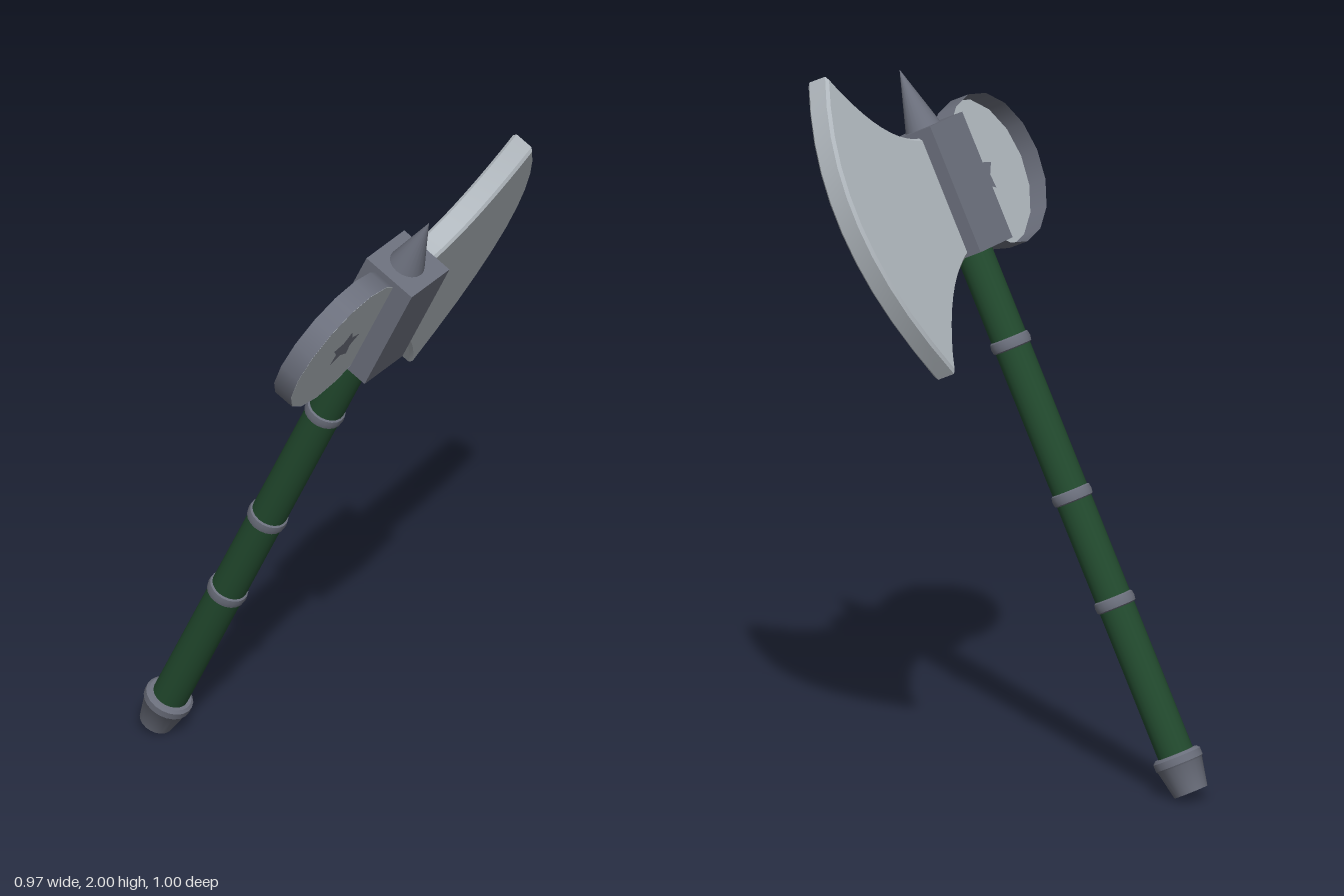
import * as THREE from 'three';
import { toCreasedNormals } from 'three/addons/utils/BufferGeometryUtils.js';

const green = new THREE.MeshStandardMaterial({ color: 0x224a2e });
green.name = 'green grip';
const iron = new THREE.MeshStandardMaterial({ color: 0x6b6f7c, side: THREE.DoubleSide });
iron.name = 'dark iron';
const steel = new THREE.MeshStandardMaterial({ color: 0xb0b7bd });
steel.name = 'light steel';

export function createModel() {
  const model = new THREE.Group();
  model.name = 'axe';

  // The axe is built upright along y, then leaned forward
  const axe = new THREE.Group();
  axe.name = 'leaningAxe';
  axe.rotation.x = THREE.MathUtils.degToRad(25.3);
  axe.position.set(0, 0.182, -0.384);
  model.add(axe);

  const axisX = -0.052;
  const add = (name, geometry, material, x, y, z = 0) => {
    const mesh = new THREE.Mesh(geometry, material);
    mesh.name = name;
    mesh.position.set(x, y, z);
    axe.add(mesh);
    return mesh;
  };
  const lathe = (points) => toCreasedNormals(
    new THREE.LatheGeometry(points.map(([r, y]) => new THREE.Vector2(r, y)), 20), 0.6);

  // Handle with three bands
  add('handle', new THREE.CylinderGeometry(0.05, 0.05, 1.52, 20), green, axisX, 0.66);
  for (const y of [0.374, 0.685, 1.13]) {
    add('handleBand', lathe([[0.049, -0.017], [0.055, -0.013], [0.057, 0], [0.055, 0.013], [0.049, 0.017]]),
      iron, axisX, y);
  }

  // Tapered pommel with a collar
  add('pommel', lathe([[0, -0.179], [0.048, -0.179], [0.064, -0.1], [0.068, -0.095],
    [0.068, -0.075], [0.06, -0.067], [0.049, -0.067]]), iron, axisX, 0);

  // Head block and top spike
  add('headBlock', new THREE.BoxGeometry(0.176, 0.366, 0.166), iron, axisX, 1.574, 0.008);
  add('spike', new THREE.ConeGeometry(0.05, 0.17, 20), iron, axisX, 1.842, 0.005);

  // Crescent blade
  const outline = new THREE.Shape();
  outline.moveTo(0.02, 1.4);
  outline.quadraticCurveTo(0.19, 1.35, 0.31, 1.12);
  outline.quadraticCurveTo(0.63, 1.62, 0.355, 1.997);
  outline.quadraticCurveTo(0.19, 1.75, 0.02, 1.735);
  outline.closePath();
  const bevel = 0.008;
  const blade = new THREE.ExtrudeGeometry(outline, {
    depth: 0.07 - 2 * bevel, curveSegments: 10, bevelEnabled: true,
    bevelThickness: bevel, bevelSize: bevel, bevelOffset: -bevel, bevelSegments: 1,
  });
  add('blade', toCreasedNormals(blade, 0.5), steel, 0, 0, -0.035 + bevel);

  // Round counterweight: a thin hoop closed near its front by a plate
  const discX = -0.27, discY = 1.575, discR = 0.214;
  add('discRim', new THREE.CylinderGeometry(discR, discR, 0.062, 16, 1, true), iron, discX, discY)
    .rotation.x = Math.PI / 2;
  add('discPlate', new THREE.CylinderGeometry(discR - 0.002, discR - 0.002, 0.008, 16), steel, discX, discY, 0.027)
    .rotation.x = Math.PI / 2;

  // Star inlay showing on both faces of the plate
  const star = new THREE.Shape();
  for (let i = 0; i < 10; i++) {
    const a = Math.PI / 2 + i * Math.PI / 5;
    const r = i % 2 ? 0.034 : 0.062;
    star[i ? 'lineTo' : 'moveTo'](r * Math.cos(a), r * Math.sin(a));
  }
  star.closePath();
  const inlay = new THREE.ShapeGeometry(star);
  for (const z of [0.0325, 0.0215]) add('starInlay', inlay, iron, discX, discY, z);

  return model;
}
